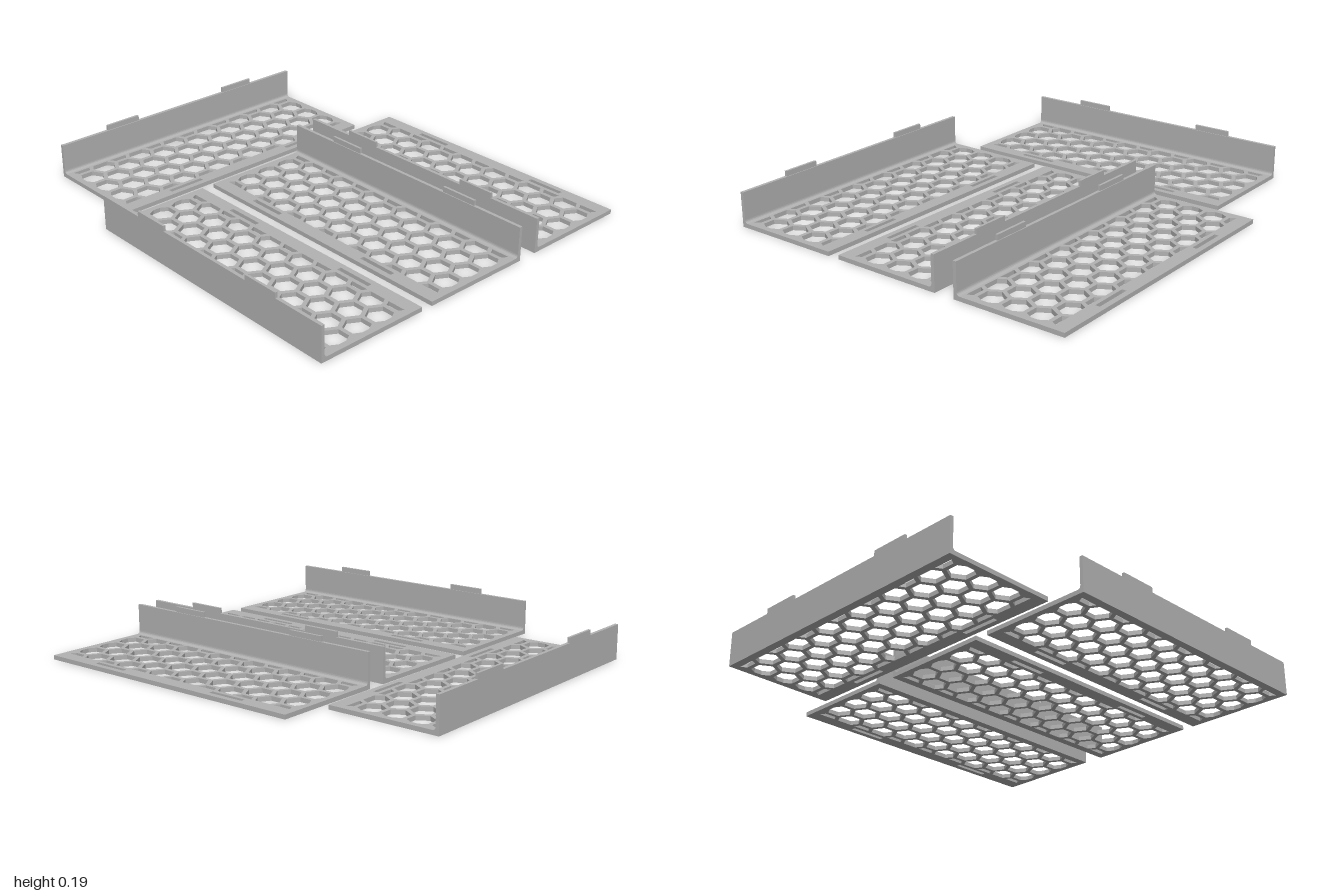
import * as THREE from 'three';

const LENGTH = 1.41, HALF = 0.269, THICK = 0.02;   // panel length, half width, floor thickness
const WALL_T = 0.016, WALL_H = 0.165, TAB_H = 0.19;
const TAB_U = 0.355, TAB_W = 0.182;                // tab and slot positions along the panel
const FOOT = 0.237;                                // floor plate ends here, wall foot begins
const MESH_V = 0.0137, MESH_U2 = 0.677, MESH_V2 = 0.217; // honeycomb window centre and half sizes
const PITCH = 0.121, BAR = 0.019;                  // honeycomb spacing and bar width

const grey = new THREE.MeshStandardMaterial({ color: 0xb2b2b2 });
grey.name = 'grey plastic';

// Keep the part of a convex polygon where sign * point[axis] <= limit
function clip(points, axis, sign, limit) {
  const out = [];
  points.forEach((a, i) => {
    const b = points[(i + 1) % points.length];
    const da = limit - sign * a[axis], db = limit - sign * b[axis];
    if (da >= 0) out.push(a);
    if (da * db < 0) out.push(a.clone().lerp(b, da / (da - db)));
  });
  return out;
}

// Hexagon openings trimmed to the window of the frame
function honeycombHoles() {
  const holes = [];
  const r = (PITCH - BAR) / Math.sqrt(3);
  const step = PITCH * Math.sqrt(3) / 2;
  for (let col = -6; col <= 6; col++) {
    const offset = col % 2 === 0 ? 0 : 0.5;
    for (let row = -3; row <= 3; row++) {
      let hex = [];
      for (let k = 0; k < 6; k++) {
        const a = k * Math.PI / 3;
        hex.push(new THREE.Vector2(col * step + r * Math.cos(a), (row + offset) * PITCH + r * Math.sin(a)));
      }
      for (const sign of [-1, 1]) {
        hex = clip(hex, 'x', sign, MESH_U2);
        hex = clip(hex, 'y', sign, MESH_V2);
      }
      if (hex.length < 3 || Math.abs(THREE.ShapeUtils.area(hex)) < 1e-4) continue;
      hex.forEach(p => { p.y += MESH_V; });
      holes.push(new THREE.Path(hex));
    }
  }
  return holes;
}

function rectangle(u0, u1, v0, v1) {
  return [[u0, v0], [u1, v0], [u1, v1], [u0, v1]].map(p => new THREE.Vector2(...p));
}

// Floor plate with honeycomb and two slots
function floorGeometry() {
  const shape = new THREE.Shape(rectangle(-LENGTH / 2, LENGTH / 2, -HALF, FOOT));
  shape.holes.push(...honeycombHoles());
  for (const s of [-1, 1]) {
    const u = s * TAB_U;
    shape.holes.push(new THREE.Path(rectangle(u - TAB_W / 2, u + TAB_W / 2, -0.243, -0.222)));
  }
  const geometry = new THREE.ExtrudeGeometry(shape, { depth: THICK, bevelEnabled: false });
  return geometry.rotateX(Math.PI / 2).translate(0, THICK, 0);
}

// Upright wall with a filleted foot, swept along the panel
function wallGeometry() {
  const inner = HALF - WALL_T, fillet = inner - FOOT;
  const profile = new THREE.Shape();
  profile.moveTo(FOOT, 0);
  profile.lineTo(HALF, 0);
  profile.lineTo(HALF, WALL_H);
  profile.lineTo(inner, WALL_H);
  profile.lineTo(inner, THICK + fillet);
  profile.quadraticCurveTo(inner, THICK, FOOT, THICK);
  const geometry = new THREE.ExtrudeGeometry(profile, { depth: LENGTH, bevelEnabled: false, curveSegments: 5 });
  return geometry.rotateY(-Math.PI / 2).translate(LENGTH / 2, 0, 0);
}

export function createModel() {
  const model = new THREE.Group();
  model.name = 'honeycombPanels';
  const floor = floorGeometry();
  const wall = wallGeometry();
  const tabT = 0.012, tabH = TAB_H - WALL_H;
  const tab = new THREE.BoxGeometry(TAB_W, tabH, tabT);

  // name, centre x, centre z, turn about y
  const panels = [
    ['frontPanel', 0.291, 0.613, 0],
    ['middlePanel', 0.291, 0.013, Math.PI - 0.005],
    ['backPanel', 0.291, -0.619, 0],
    ['sidePanel', -0.726, 0.026, -Math.PI / 2 + 0.005],
  ];
  for (const [name, x, z, turn] of panels) {
    const panel = new THREE.Group();
    panel.name = name;
    const add = (part, geometry) => {
      const mesh = new THREE.Mesh(geometry, grey);
      mesh.name = part;
      panel.add(mesh);
      return mesh;
    };
    add('honeycombFloor', floor);
    add('wall', wall);
    for (const s of [-1, 1]) {
      add(s < 0 ? 'tabA' : 'tabB', tab).position.set(s * TAB_U, WALL_H + tabH / 2, HALF - tabT / 2);
    }
    panel.position.set(x, 0, z);
    panel.rotation.y = turn;
    model.add(panel);
  }
  return model;
}
